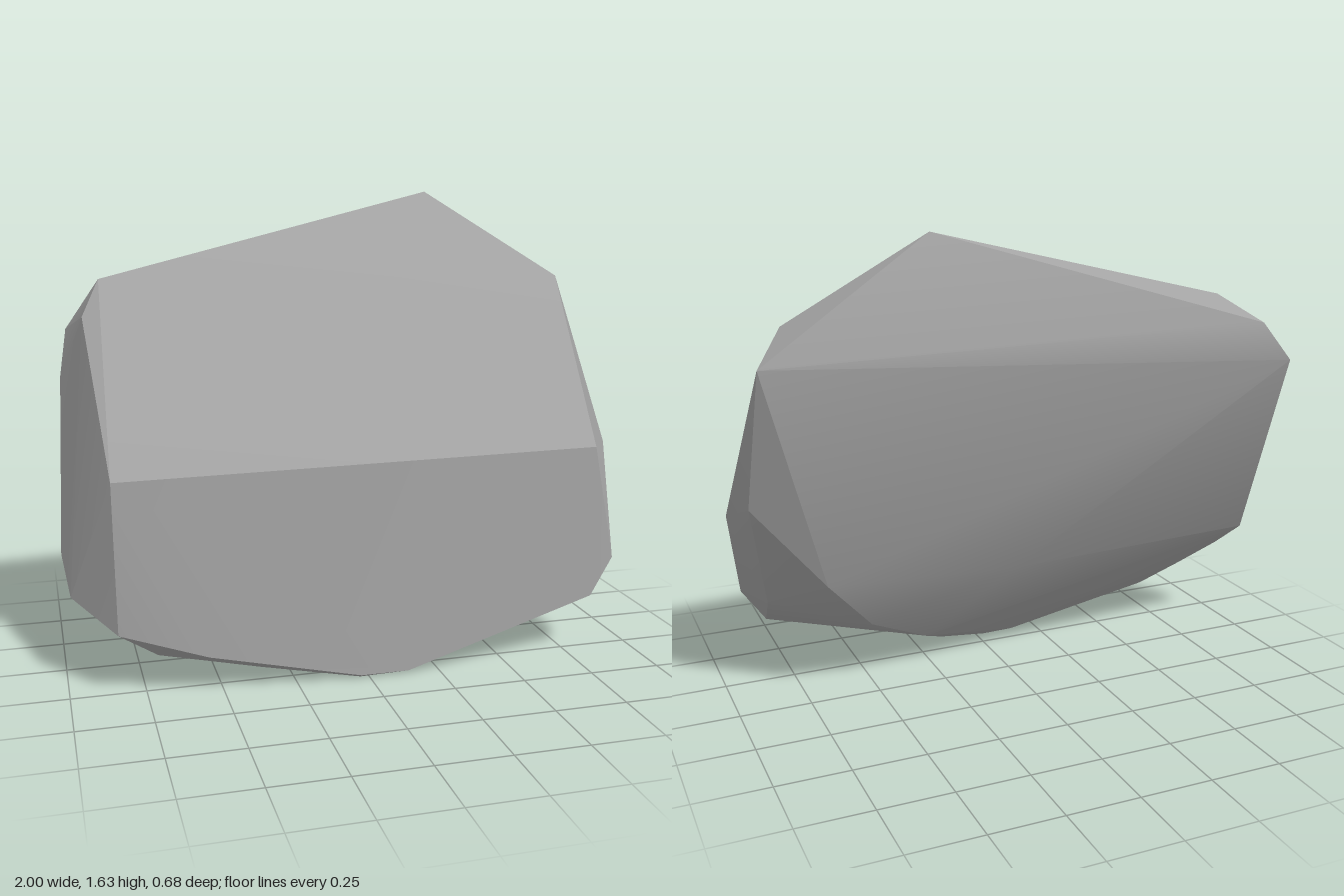
import * as THREE from 'three';
import { ConvexGeometry } from 'three/addons/geometries/ConvexGeometry.js';
import { toCreasedNormals } from 'three/addons/utils/BufferGeometryUtils.js';

// Corners of the stone, grouped by side
const corners = {
  frontFace: [
    [-0.85, 0.74, 0.335], [0.82, 0.76, 0.33], [0.83, 0.21, 0.31],
    [0.14, 0.01, 0.335], [-0.03, 0.01, 0.335], [-0.55, 0.13, 0.335], [-0.84, 0.22, 0.3],
  ],
  top: [
    [-0.84, 1.35, -0.01], [0.36, 1.63, -0.21], [0.8, 1.33, -0.01],
    [0.94, 1.25, -0.3], [-0.82, 1.29, -0.34],
  ],
  leftSide: [
    [1, 0.71, 0.03], [0.92, 0.34, 0.29], [0.95, 0.76, -0.1], [0.85, 0.33, 0.17],
  ],
  rightSide: [
    [-0.94, 1.15, -0.34], [-0.97, 1, -0.2], [-0.9, 1.23, 0.03], [-1, 0.42, 0],
    [-0.98, 0.31, 0.14], [-0.85, 0.21, 0.22], [-0.71, 0.13, 0.27],
  ],
  roundedBack: [
    [0.7, 0.46, -0.1], [0, 0.42, -0.08], [0.51, 0.24, 0.04],
    [0.27, 0.11, 0.15], [-0.12, 0.035, 0.25], [-0.37, 0.06, 0.29], [-0.03, 0, 0.32],
  ],
};

export function createModel() {
  const group = new THREE.Group();
  group.name = 'rock';

  const stoneGrey = new THREE.MeshStandardMaterial({ color: 0xa6a6a6 });
  stoneGrey.name = 'stone grey';

  // Convex slab, soft over the rounded back and sharp along the broken edges
  const points = Object.values(corners).flat().map((p) => new THREE.Vector3(...p));
  const geometry = toCreasedNormals(new ConvexGeometry(points), 0.38);
  const stone = new THREE.Mesh(geometry, stoneGrey);
  stone.name = 'stone';
  group.add(stone);
  return group;
}
